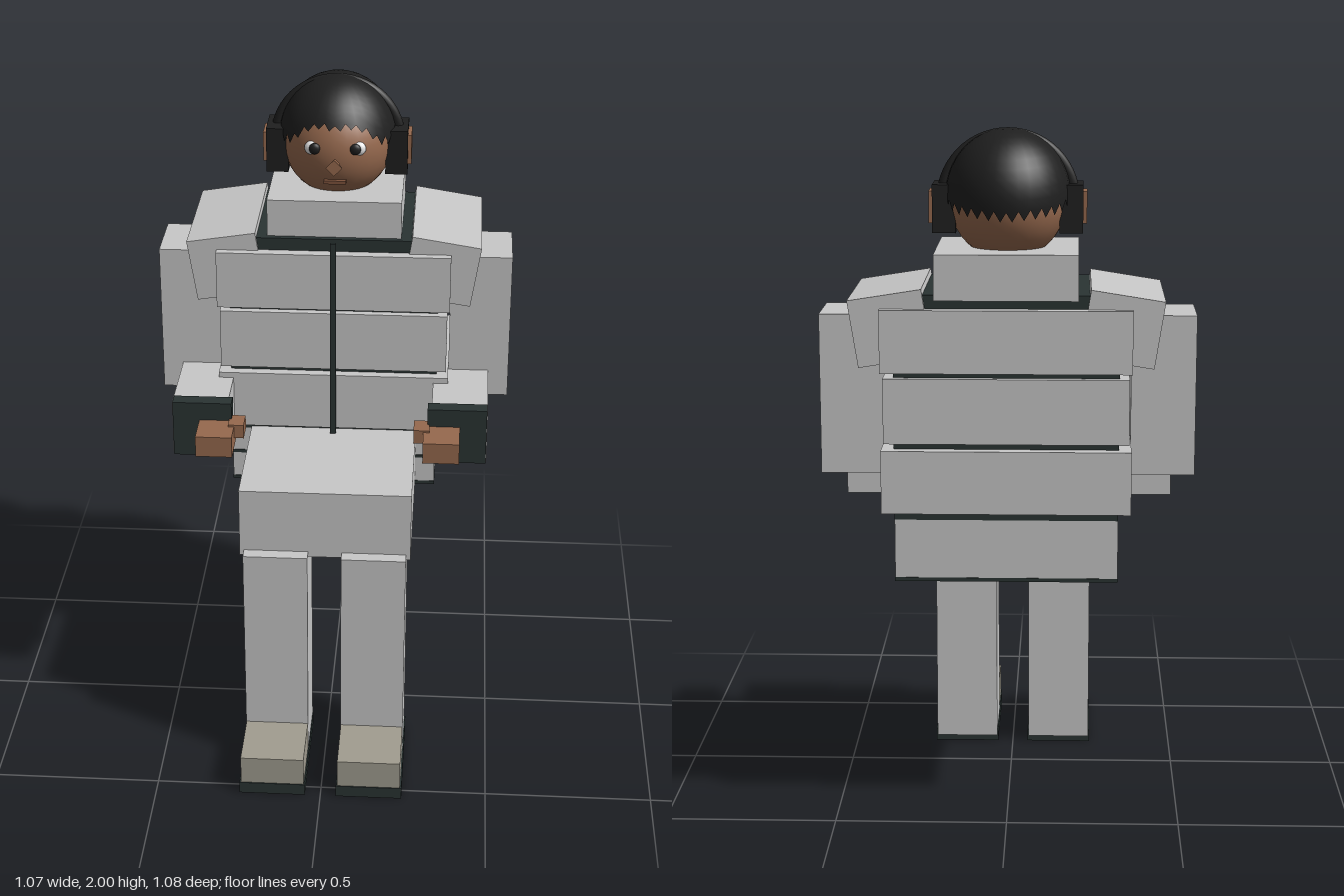
import * as THREE from 'three';

const mat = (name, color, side = THREE.FrontSide) => {
  const m = new THREE.MeshStandardMaterial({ color, side });
  m.name = name;
  return m;
};

export function createModel() {
  const suit = mat('light grey suit', 0xc8c8c8);
  const trim = mat('dark green trim', 0x2a3433);
  const skin = mat('brown skin', 0x96694e);
  const tan = mat('tan shoe', 0xa19d90);
  const black = mat('black hair', 0x1f1f1f, THREE.DoubleSide);
  const white = mat('eye white', 0xeeeeee);
  const lip = mat('lip brown', 0x7d523c);

  const root = new THREE.Group();
  root.name = 'seatedFigure';
  const add = (name, geo, material, x = 0, y = 0, z = 0, parent = root) => {
    const m = new THREE.Mesh(geo, material);
    m.name = name;
    m.position.set(x, y, z);
    parent.add(m);
    return m;
  };
  // Box given by its limits on each axis
  const box = (name, material, x0, x1, y0, y1, z0, z1, parent) =>
    add(name, new THREE.BoxGeometry(x1 - x0, y1 - y0, z1 - z0), material,
      (x0 + x1) / 2, (y0 + y1) / 2, (z0 + z1) / 2, parent);
  // Same box on both sides of the body
  const pair = (name, material, x0, x1, ...rest) => {
    box(name + 'Left', material, x0, x1, ...rest);
    box(name + 'Right', material, -x1, -x0, ...rest);
  };

  // Padded jacket: dark core with wider grey bands around it
  box('jacketCore', trim, -0.315, 0.315, 0.915, 1.555, -0.505, -0.105);
  box('chestBand', suit, -0.35, 0.35, 1.34, 1.517, -0.538, -0.072);
  box('waistBand', suit, -0.343, 0.343, 1.138, 1.323, -0.526, -0.082);
  box('lowerBand', suit, -0.35, 0.35, 0.94, 1.12, -0.538, -0.075);
  box('collar', suit, -0.2, 0.2, 1.54, 1.668, -0.515, -0.123);
  box('zipper', trim, -0.009, 0.009, 0.925, 1.557, -0.075, -0.063);

  // Hips and lap
  box('hips', suit, -0.315, 0.315, 0.745, 0.915, -0.505, -0.105);
  box('hipBase', trim, -0.316, 0.316, 0.735, 0.746, -0.506, -0.104);
  pair('hipSeam', trim, 0.25, 0.315, 0.828, 0.838, -0.108, -0.103);
  box('lap', suit, -0.255, 0.255, 0.705, 0.922, -0.335, 0.308);

  // Legs and shoes
  pair('lowerLeg', suit, 0.05, 0.242, 0.02, 0.722, 0.155, 0.348);
  pair('shoe', tan, 0.051, 0.241, 0.03, 0.126, 0.17, 0.537);
  pair('sole', trim, 0.047, 0.246, 0, 0.037, 0.165, 0.54);

  // Arms, cuffs and hands
  pair('upperArm', suit, 0.35, 0.534, 1.02, 1.48, -0.38, -0.175);
  pair('forearm', suit, 0.305, 0.472, 0.933, 1.103, -0.27, 0.103);
  pair('cuff', trim, 0.293, 0.47, 0.93, 1.106, 0.063, 0.108);
  pair('hand', skin, 0.282, 0.39, 0.985, 1.05, 0.08, 0.218);
  pair('thumb', skin, 0.253, 0.3, 1.013, 1.056, 0.083, 0.148);
  for (const s of [1, -1]) {
    const pad = add('shoulderPad', new THREE.BoxGeometry(0.208, 0.19, 0.418), suit, s * 0.322, 1.462, -0.306);
    pad.rotation.z = -s * 0.157;
  }

  // Head
  const head = new THREE.Group();
  head.name = 'head';
  root.add(head);
  add('face', new THREE.SphereGeometry(0.166, 28, 20), skin, 0, 1.795, -0.315, head);

  // Hair cap: a dome whose lower rim follows a hairline (angle from the front, height)
  const R = 0.185;
  const rim = [[0, 0.06], [0.25, 0.068], [0.55, 0.052], [0.85, 0.005], [1.57, -0.015], [2.2, -0.045], [3.15, -0.06]];
  const rimHeight = (a) => {
    let i = 1;
    while (i < rim.length - 1 && a > rim[i][0]) i++;
    const [a0, h0] = rim[i - 1], [a1, h1] = rim[i];
    return THREE.MathUtils.lerp(h0, h1, (a - a0) / (a1 - a0));
  };
  const cap = new THREE.SphereGeometry(R, 32, 12);
  const p = cap.attributes.position, uv = cap.attributes.uv;
  for (let i = 0; i < p.count; i++) {
    const phi = uv.getX(i) * Math.PI * 2;
    const dx = -Math.cos(phi), dz = Math.sin(phi);
    const t = (1 - uv.getY(i)) * Math.acos(rimHeight(Math.abs(Math.atan2(dx, dz))) / R);
    p.setXYZ(i, dx * Math.sin(t) * R * 0.95, Math.cos(t) * R, dz * Math.sin(t) * R);
  }
  cap.computeVertexNormals();
  add('hair', cap, black, 0, 1.813, -0.322, head);

  // Headphones
  add('headband', new THREE.TorusGeometry(0.186, 0.016, 8, 28, Math.PI), black, 0, 1.797, -0.315, head);
  for (const s of [1, -1]) {
    add('earCup', new THREE.BoxGeometry(0.066, 0.135, 0.125), black, s * 0.178, 1.777, -0.313, head);
    add('earCupPlate', new THREE.BoxGeometry(0.012, 0.09, 0.08), skin, s * 0.216, 1.78, -0.313, head);
    // Eyes
    const eye = add('eyeWhite', new THREE.SphereGeometry(0.021, 14, 10), white, s * 0.07, 1.817, -0.172, head);
    eye.scale.z = 0.7;
    const pupil = add('pupil', new THREE.SphereGeometry(0.017, 14, 10), black, s * 0.06, 1.818, -0.16, head);
    pupil.scale.z = 0.6;
  }
  // Four-sided nose that flares outwards, and the mouth
  const noseGeo = new THREE.CylinderGeometry(0.025, 0.012, 0.045, 4).toNonIndexed();
  noseGeo.computeVertexNormals();
  const nose = add('nose', noseGeo, skin, 0, 1.778, -0.13, head);
  nose.rotation.x = Math.PI / 2;
  box('mouth', lip, -0.033, 0.033, 1.71, 1.72, -0.19, -0.155, head);

  return root;
}
